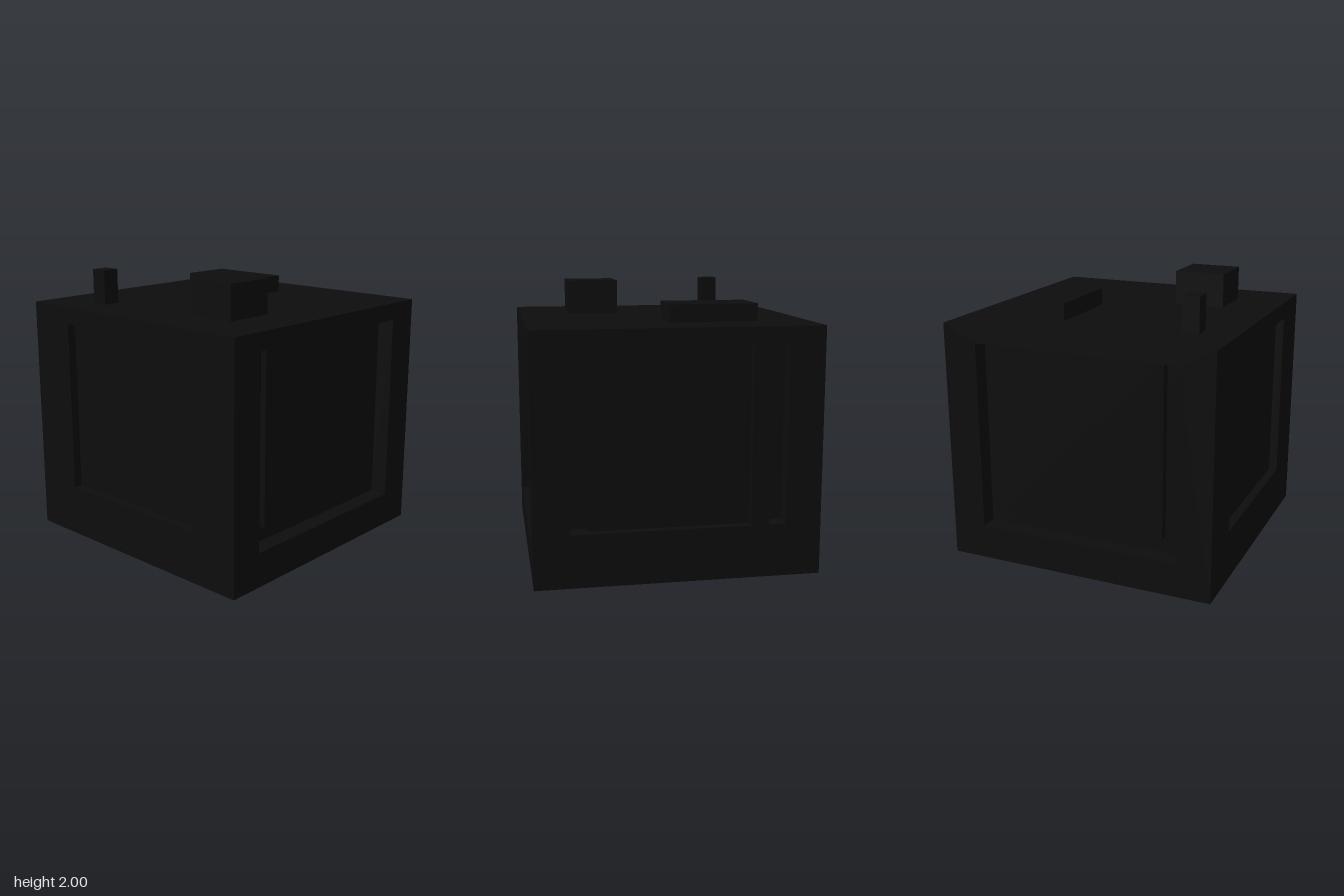
import * as THREE from 'three';

const HEIGHT = 1.75;
const TOP = 1.625; // upper edge shared by all recesses

export function createModel() {
  const model = new THREE.Group();
  const black = new THREE.MeshStandardMaterial({ color: 0x0d0d0d });
  black.name = 'black';

  const add = (parent, name, geometry) => {
    const mesh = new THREE.Mesh(geometry, black);
    mesh.name = name;
    parent.add(mesh);
    return mesh;
  };

  // Box given by its minimum and maximum corners
  const box = (parent, name, [x0, y0, z0], [x1, y1, z1]) =>
    add(parent, name, new THREE.BoxGeometry(x1 - x0, y1 - y0, z1 - z0))
      .position.set((x0 + x1) / 2, (y0 + y1) / 2, (z0 + z1) / 2);

  const trace = (path, x0, y0, x1, y1) => {
    path.moveTo(x0, y0);
    path.lineTo(x1, y0);
    path.lineTo(x1, y1);
    path.lineTo(x0, y1);
    path.closePath();
    return path;
  };

  // Wall with rectangular openings [x0, y0, x1, y1], facing local +z
  const frame = (parent, halfWidth, depth, openings) => {
    const shape = trace(new THREE.Shape(), -halfWidth, 0, halfWidth, HEIGHT);
    shape.holes = openings.map((o) => trace(new THREE.Path(), ...o));
    add(parent, 'wallFrame', new THREE.ExtrudeGeometry(shape, { depth, bevelEnabled: false }));
  };

  const wall = (name, angle, x, z) => {
    const group = new THREE.Group();
    group.name = name;
    group.rotation.y = angle;
    group.position.set(x, 0, z);
    model.add(group);
    return group;
  };

  // Solid core behind the recesses
  box(model, 'core', [-0.875, 0, -0.875], [0.875, HEIGHT, 0.9375]);

  // Front: one shallow recess
  frame(wall('frontWall', 0, 0, 0.9375), 0.875, 0.0625, [[-0.625, 0.375, 0.625, TOP]]);

  // Sides: deep recess with a raised panel hanging from its top
  for (const s of [1, -1]) {
    const side = wall(s > 0 ? 'leftWall' : 'rightWall', s * Math.PI / 2, s * 0.875, 0);
    frame(side, 1, 0.125, [[-0.75, 0.25, 0.75, TOP]]);
    box(side, 'sidePanel', [-0.625, 0.375, 0], [0.625, TOP, 0.0625]);
  }

  // Back: panel with a groove along one edge, and a separate narrow slot
  const back = wall('backWall', Math.PI, 0, -0.875);
  frame(back, 0.875, 0.125, [[-0.75, 0.375, 0.5, TOP], [0.625, 0.375, 0.75, TOP]]);
  box(back, 'backPanel', [-0.625, 0.375, 0], [0.5, TOP, 0.0625]);

  // Blocks on the roof
  box(model, 'lowRoofBlock', [-0.625, HEIGHT, -0.625], [0, 1.875, -0.25]);
  box(model, 'tallRoofBlock', [0.25, HEIGHT, 0.25], [0.625, 2, 0.625]);
  box(model, 'roofPost', [-0.625, HEIGHT, 0.625], [-0.5, 2, 0.75]);

  return model;
}
